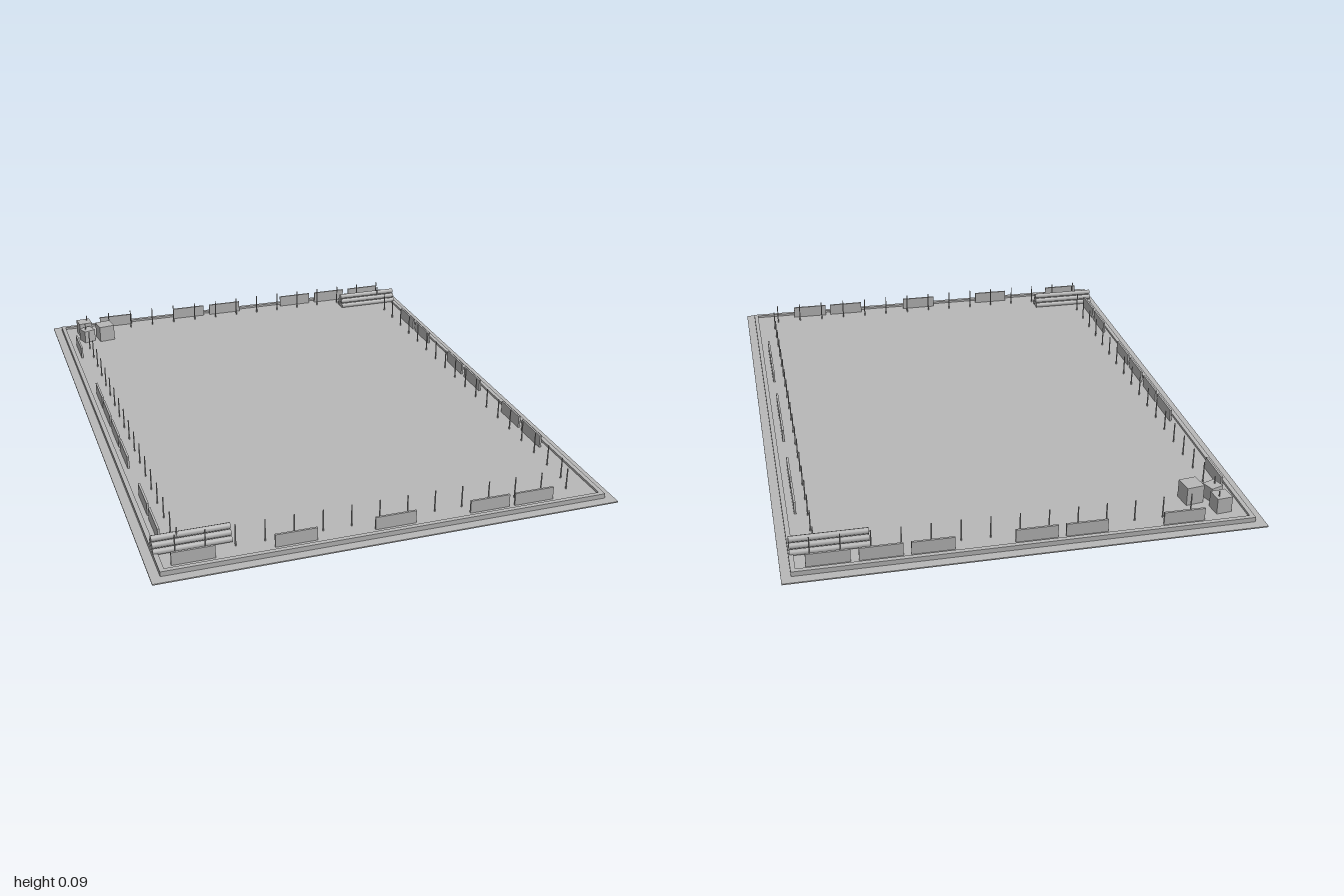
import * as THREE from 'three';

const grey = new THREE.MeshStandardMaterial({ color: 0xb8b8b8 });
grey.name = 'concrete grey';

export function createModel() {
  const root = new THREE.Group();
  root.name = 'walledYard';

  const add = (name, geo, x, y, z, parent = root) => {
    const m = new THREE.Mesh(geo, grey);
    m.name = name;
    m.position.set(x, y, z);
    parent.add(m);
    return m;
  };
  // Box whose underside rests at y
  const box = (name, w, h, d, x, y, z, parent) =>
    add(name, new THREE.BoxGeometry(w, h, d), x, y + h / 2, z, parent);
  const group = (name) => {
    const g = new THREE.Group();
    g.name = name;
    root.add(g);
    return g;
  };

  // Ground sheet and yard floor
  const floorY = 0.012;
  box('groundSheet', 1.51, 0.004, 2, 0, 0, 0);
  box('yardFloor', 1.43, floorY - 0.004, 1.92, 0, 0.004, 0);

  // Raised kerb running round the yard
  const rect = (P, w, d) => new P().moveTo(-w, -d).lineTo(w, -d).lineTo(w, d).lineTo(-w, d).closePath();
  const kerb = rect(THREE.Shape, 0.725, 0.968);
  kerb.holes.push(rect(THREE.Path, 0.71, 0.953));
  const kerbGeo = new THREE.ExtrudeGeometry(kerb, { depth: 0.016, bevelEnabled: false });
  kerbGeo.rotateX(-Math.PI / 2);
  add('kerb', kerbGeo, 0, 0.004, 0);

  // Wall panels with gaps between them
  const panels = group('wallPanels');
  const long = 0.134, thin = 0.007, tall = 0.043;
  for (const x of [-0.617, -0.3, 0.02, 0.337, 0.49])
    box('frontPanel', long, tall, thin, x, floorY, 0.93, panels);
  for (const x of [-0.5, -0.185, -0.026, 0.295, 0.453, 0.612])
    box('backPanel', long, tall, thin, x, floorY, -0.935, panels);
  for (const z of [-0.703, -0.225, -0.068, 0.095, 0.253, 0.57, 0.727])
    box('rightPanel', thin, tall, long, -0.69, floorY, z, panels);
  for (const z of [-0.575, -0.417, -0.095, 0.063, 0.383, 0.54])
    box('leftPanel', thin, tall, long, 0.685, floorY, z, panels);

  // Slim posts in a row inside each wall
  const posts = group('posts');
  const postGeo = new THREE.CylinderGeometry(0.002, 0.0025, 0.074, 6);
  const post = (x, z) => add('post', postGeo, x, floorY + 0.037, z, posts);
  const gap = 0.0922;
  for (let i = 0; i < 15; i++) {
    post(-0.662 + i * gap, 0.888);
    post(-0.628 + i * gap, -0.895);
  }
  for (let i = 0; i < 19; i++) {
    post(-0.647, -0.81 + i * gap);
    post(0.647, -0.84 + i * gap);
  }

  // Pyramids of logs in two opposite corners
  const r = 0.01;
  const logGeo = new THREE.CylinderGeometry(r, r, 0.243, 8).rotateZ(Math.PI / 2);
  for (const [x, z] of [[-0.603, 0.842], [0.6, -0.85]]) {
    const stack = group('logStack');
    for (let row = 0; row < 3; row++)
      for (let i = 0; i < 3 - row; i++)
        add('log', logGeo, x, floorY + r + row * r * 1.732, z + (i - (2 - row) / 2) * 2 * r, stack);
  }

  // Crates in the back right corner
  const crates = group('crates');
  for (const [x, z, s, turn] of [[-0.64, -0.885, 0.052, 0.1], [-0.64, -0.813, 0.046, 0.35], [-0.567, -0.812, 0.06, 0.14]])
    box('crate', s, s + 0.002, s, x, floorY, z, crates).rotation.y = turn;

  return root;
}
